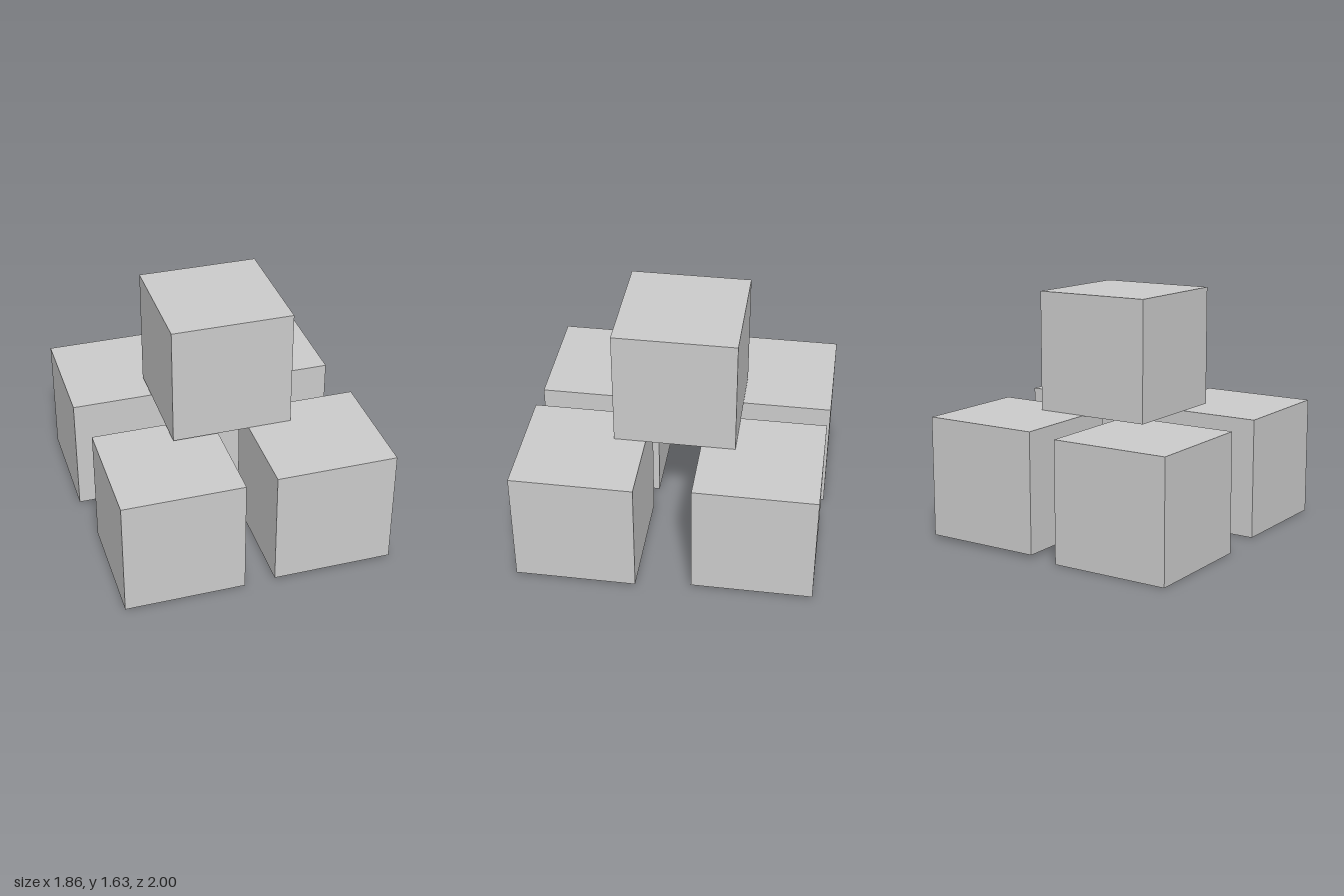
import * as THREE from 'three';

const SIZE = 0.808;

// Cube centres: four spaced base cubes and one resting on top
const cubes = {
  frontRightCube: [-0.485, 0.404, 0.588],
  backRightCube: [-0.53, 0.404, -0.596],
  frontLeftCube: [0.526, 0.425, 0.596],
  backLeftCube: [0.481, 0.425, -0.58],
  topCube: [0.01, 1.231, 0],
};

export function createModel() {
  const model = new THREE.Group();
  model.name = 'stackedCubes';
  const geometry = new THREE.BoxGeometry(SIZE, SIZE, SIZE);
  const material = new THREE.MeshStandardMaterial({ color: 0xcccccc, flatShading: true });

  for (const [name, centre] of Object.entries(cubes)) {
    const cube = new THREE.Mesh(geometry, material);
    cube.name = name;
    cube.position.set(...centre);
    model.add(cube);
  }
  return model;
}
